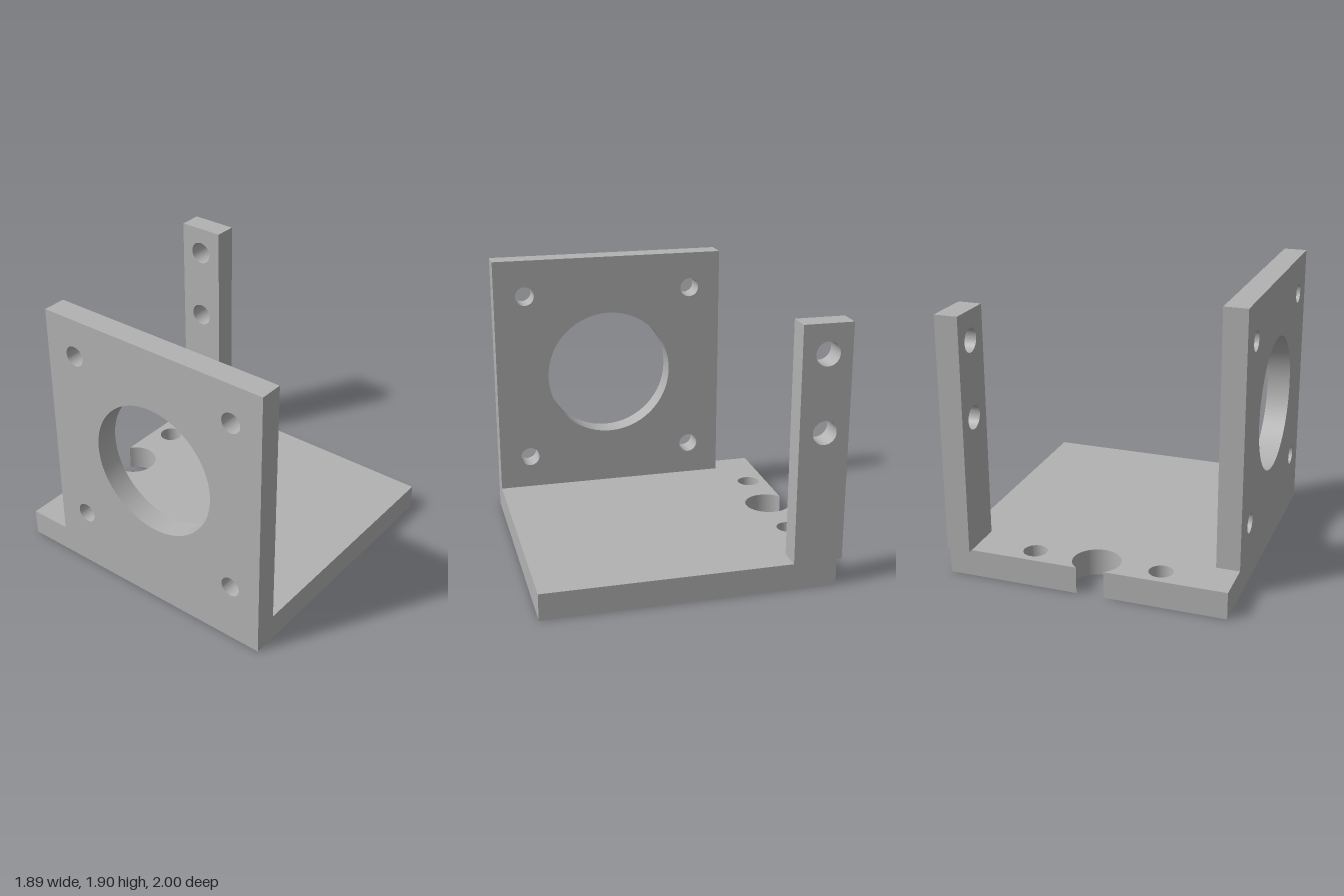
import * as THREE from 'three';
import { toCreasedNormals } from 'three/addons/utils/BufferGeometryUtils.js';

const T = 0.183; // base thickness
const W = 0.947; // half width
const BACK = 0.965; // rear edge of the base (-z)

function rectangle(u0, v0, u1, v1) {
  return new THREE.Shape([[u0, v0], [u1, v0], [u1, v1], [u0, v1]].map(([u, v]) => new THREE.Vector2(u, v)));
}

function drill(shape, u, v, r) {
  shape.holes.push(new THREE.Path().absarc(u, v, r, 0, Math.PI * 2, true));
}

function extrude(shape, depth) {
  return new THREE.ExtrudeGeometry(shape, { depth, bevelEnabled: false, curveSegments: 40 });
}

export function createModel() {
  const group = new THREE.Group();
  const grey = new THREE.MeshStandardMaterial({ color: 0xb2b2b2 });
  const add = (name, geometry) => {
    const mesh = new THREE.Mesh(toCreasedNormals(geometry, 0.5), grey);
    mesh.name = name;
    group.add(mesh);
  };

  // Base: drawn in (x, -z), with a round notch open at the rear edge
  const nx = -0.04, nz = 0.835, nr = 0.16;
  const a = Math.asin((BACK - nz) / nr);
  const base = new THREE.Shape();
  base.moveTo(-W, -1);
  base.lineTo(W, -1);
  base.lineTo(W, BACK);
  base.lineTo(nx + nr * Math.cos(a), BACK);
  base.absarc(nx, nz, nr, a, Math.PI - a, true);
  base.lineTo(-W, BACK);
  base.closePath();
  for (const x of [-0.475, 0.39]) drill(base, x, nz, 0.08);
  add('basePlate', extrude(base, T).rotateX(-Math.PI / 2));

  // Upright plate: drawn in (-z, y), with a large bore and four bolt holes
  const plate = rectangle(-1, T, 0.67, 1.9);
  drill(plate, -0.167, 1.03, 0.456);
  for (const u of [-0.778, 0.444]) for (const y of [0.419, 1.641]) drill(plate, u, y, 0.068);
  add('mountingPlate', extrude(plate, 0.157).rotateY(Math.PI / 2).translate(-W, 0, 0));

  // Rear post with two holes, overhanging the base slightly
  const post = rectangle(0.67, T, 1, 1.778);
  for (const y of [1.07, 1.584]) drill(post, 0.838, y, 0.08);
  add('rearPost', extrude(post, 0.158).rotateY(Math.PI / 2).translate(W - 0.158, 0, 0));

  return group;
}
